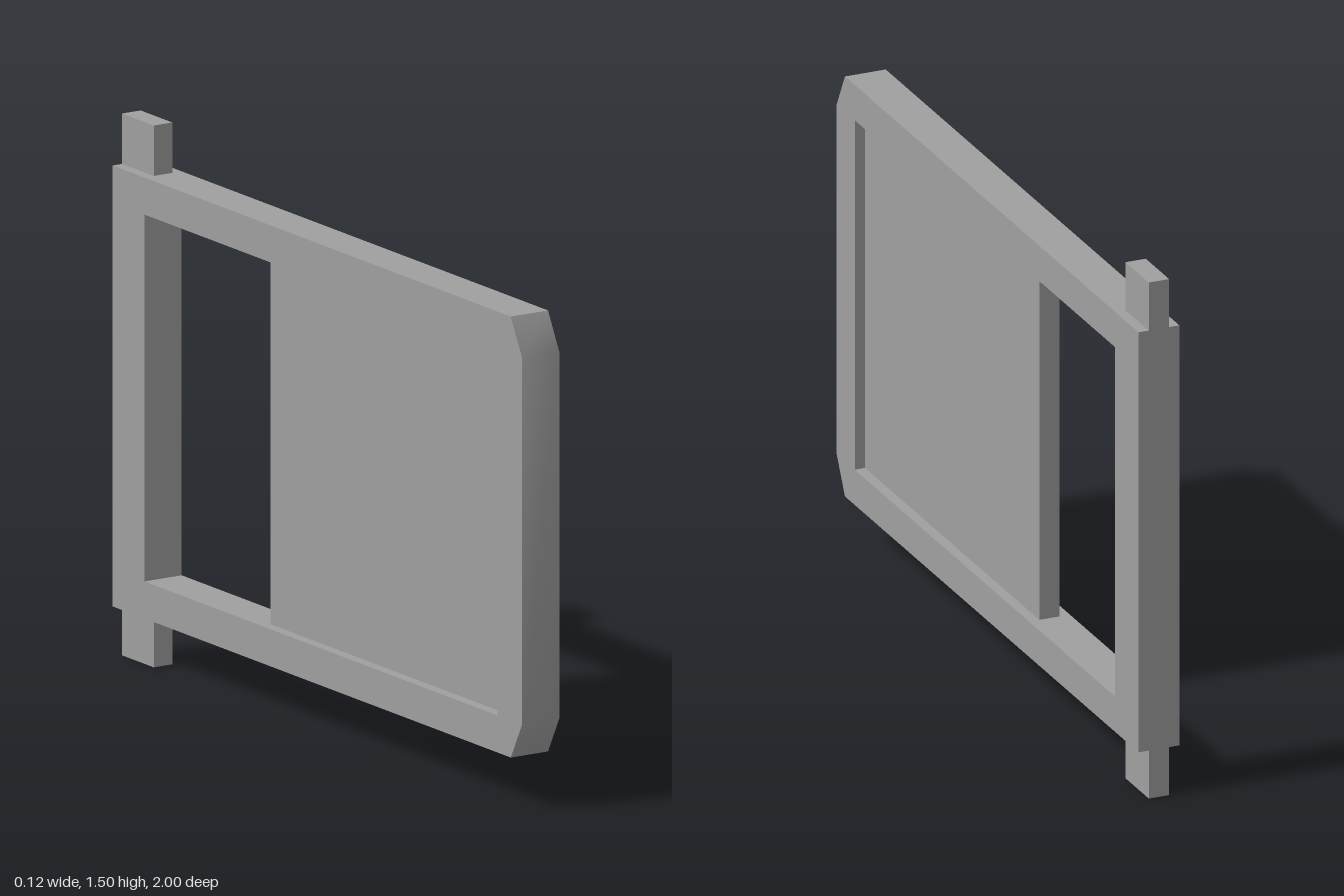
import * as THREE from 'three';
import { toCreasedNormals } from 'three/addons/utils/BufferGeometryUtils.js';

const HEIGHT = 1.505;
const BOTTOM = 0.14, TOP = HEIGHT - BOTTOM;      // frame, without pegs
const OPEN_LOW = 0.243, OPEN_HIGH = HEIGHT - OPEN_LOW;
const OPEN_FRONT = 0.88, OPEN_BACK = -0.845;
const FRAME_WIDTH = 0.12, INNER_WIDTH = 0.06;

// Closed outline in side view from [z, y] points
const outline = (points, Type) =>
  new Type(points.map(([z, y]) => new THREE.Vector2(-z, y)));

export function createModel() {
  const group = new THREE.Group();
  const grey = new THREE.MeshStandardMaterial({ color: 0xa0a0a0 });
  grey.name = 'plain grey';

  const add = (name, geometry) => {
    const mesh = new THREE.Mesh(geometry, grey);
    mesh.name = name;
    group.add(mesh);
  };
  const block = (name, y0, y1, z0, z1) => {
    const geometry = new THREE.BoxGeometry(INNER_WIDTH, y1 - y0, z1 - z0);
    add(name, geometry.translate(0, (y0 + y1) / 2, (z0 + z1) / 2));
  };

  // Frame with bevelled front corners and one rectangular opening
  const shape = outline([
    [-1, BOTTOM], [-1, TOP], [0.945, TOP], [1, OPEN_HIGH],
    [1, OPEN_LOW], [0.945, BOTTOM],
  ], THREE.Shape);
  shape.holes.push(outline([
    [OPEN_FRONT, OPEN_LOW], [OPEN_FRONT, OPEN_HIGH],
    [OPEN_BACK, OPEN_HIGH], [OPEN_BACK, OPEN_LOW],
  ], THREE.Path));
  const frame = new THREE.ExtrudeGeometry(shape, { depth: FRAME_WIDTH, bevelEnabled: false });
  frame.translate(0, 0, -FRAME_WIDTH / 2).rotateY(Math.PI / 2);
  add('frame', toCreasedNormals(frame, Math.PI / 5));

  // Recessed panel filling the front part of the opening
  block('panel', OPEN_LOW, OPEN_HIGH, -0.275, OPEN_FRONT);

  // Hinge pegs above and below the back post
  block('lowerPeg', 0, BOTTOM, -1, OPEN_BACK);
  block('upperPeg', TOP, HEIGHT, -1, OPEN_BACK);

  return group;
}
